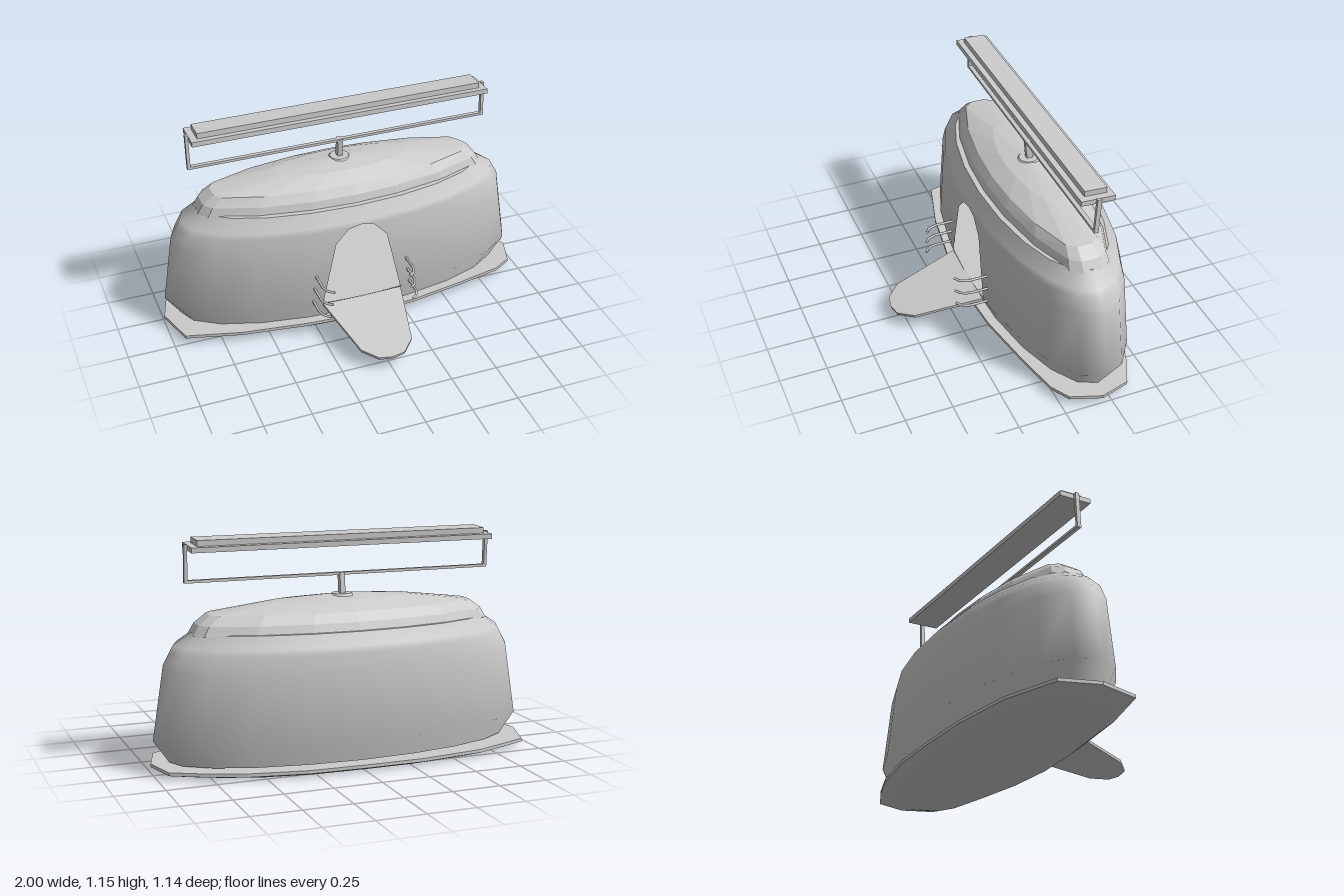
import * as THREE from 'three';

const V = (x, y, z) => new THREE.Vector3(x, y, z);

function material(options = {}) {
  return new THREE.MeshStandardMaterial({ color: 0xcccccc, ...options });
}

// Skin between stacked closed or open rings (equal point counts, bottom to top).
function loft(rings, closed = true) {
  const n = rings[0].length;
  const index = [];
  for (let i = 0; i < rings.length - 1; i++) {
    for (let j = 0; j < (closed ? n : n - 1); j++) {
      const k = (j + 1) % n;
      const a = i * n + j, b = i * n + k, c = a + n, d = b + n;
      index.push(a, b, d, a, d, c);
    }
  }
  const geometry = new THREE.BufferGeometry().setFromPoints(rings.flat());
  geometry.setIndex(index);
  geometry.computeVertexNormals();
  return geometry;
}

// Hull profile: height, half width, front z, back z.
const PROFILE = [
  [0.05, 0.91, 0.09, -0.52],
  [0.165, 0.99, 0.137, -0.57],
  [0.54, 0.93, 0.123, -0.548],
  [0.63, 0.88, 0.117, -0.535],
  [0.69, 0.79, 0.06, -0.48],
];
const SIDES = 20;

function section(y) {
  let i = 0;
  while (i < PROFILE.length - 2 && y > PROFILE[i + 1][0]) i++;
  const [p, q] = [PROFILE[i], PROFILE[i + 1]];
  const f = THREE.MathUtils.clamp((y - p[0]) / (q[0] - p[0]), 0, 1);
  const [rx, front, back] = [1, 2, 3].map((k) => p[k] + (q[k] - p[k]) * f);
  return { rx, rz: (front - back) / 2, cz: (front + back) / 2 };
}

// Angles around the hull, starting and ending at the edges of the doorway.
function angles(y, doorHalf) {
  const start = Math.asin(doorHalf / section(y).rx);
  return Array.from({ length: SIDES + 1 }, (_, j) =>
    j === 0 ? start : j === SIDES ? 2 * Math.PI - start : (j * 2 * Math.PI) / SIDES);
}

function hullRing(y, doorHalf = 0) {
  const { rx, rz, cz } = section(y);
  return angles(y, doorHalf).map((t) => V(rx * Math.sin(t), y, cz + rz * Math.cos(t)));
}

function hullGeometry() {
  // Height and half width of the doorway at that height.
  const levels = [[0.05, 0], [0.165, 0], [0.165, 0.22], [0.52, 0.14], [0.54, 0.122],
    [0.595, 0.07], [0.61, 0], [0.63, 0], [0.69, 0]];
  const geometry = loft(levels.map(([y, w]) => hullRing(y, w)), false);
  // Smooth normals that ignore the cut of the doorway.
  const normals = levels.flatMap(([y, w]) => {
    const s = section(y), lo = section(y - 0.03), hi = section(y + 0.03);
    const slope = (key) => (hi[key] - lo[key]) / 0.06;
    return angles(y, w).flatMap((t) => {
      const sn = Math.sin(t), cs = Math.cos(t);
      const ny = -(slope('rx') / s.rx) * sn * sn - (slope('rz') * cs * cs + slope('cz') * cs) / s.rz;
      return V(sn / s.rx, ny, cs / s.rz).normalize().toArray();
    });
  });
  geometry.setAttribute('normal', new THREE.Float32BufferAttribute(normals, 3));
  return geometry;
}

function disc(y) {
  const ring = hullRing(y);
  return loft([ring, ring.map(() => V(0, y, section(y).cz))]);
}

// Faceted roof with blunt ends.
function domeGeometry() {
  const quarter = [[0, 1], [0.3, 0.95], [0.65, 0.76], [0.95, 0.42], [1, 0.2]];
  const right = [...quarter, ...quarter.slice(1).reverse().map(([x, z]) => [x, -z])];
  const outline = [...right, [0, -1], ...right.slice(1).reverse().map(([x, z]) => [-x, z])];
  const levels = [[0.68, 0.79, 0.035, -0.465], [0.73, 0.76, 0.02, -0.445],
    [0.775, 0.7, -0.01, -0.405], [0.82, 0.36, -0.09, -0.32], [0.842, 0, -0.2, -0.2]];
  return loft(levels.map(([y, rx, f, b]) =>
    outline.map(([x, z]) => V(x * rx, y, (f + b) / 2 + (z * (f - b)) / 2))));
}

// Tilted base plate, bevelled underneath and wider at one end.
function plateGeometry() {
  const outline = [[0, 0.15], [0.3, 0.13], [0.6, 0.075], [0.85, 0.02], [0.95, -0.04], [1, -0.2],
    [0.95, -0.36], [0.8, -0.43], [0.6, -0.5], [0.3, -0.55], [0, -0.56], [-0.3, -0.56],
    [-0.65, -0.52], [-0.94, -0.42], [-1, -0.22], [-0.94, 0], [-0.65, 0.08], [-0.3, 0.13]];
  const ring = (scale, y, tilt) => outline.map(([x, z]) => {
    const zz = -0.21 + (z + 0.21) * scale;
    return V(x * scale, y + tilt * (zz + 0.21), zz);
  });
  return loft([ring(0, 0.003, 0.008), ring(0.88, 0.003, 0.008), ring(1, 0.03, 0.035),
    ring(1, 0.047, 0.035), ring(0, 0.047, 0.035)]);
}

export function createModel() {
  const model = new THREE.Group();
  const add = (name, geometry, options, parent = model) => {
    const mesh = new THREE.Mesh(geometry, material(options));
    mesh.name = name;
    parent.add(mesh);
    return mesh;
  };
  const box = (name, size, position, parent) => {
    const mesh = add(name, new THREE.BoxGeometry(...size), {}, parent);
    mesh.position.set(...position);
    return mesh;
  };

  // Hull with its doorway and interior
  add('hull', hullGeometry(), { side: THREE.DoubleSide });
  add('hullTop', disc(0.69), { side: THREE.DoubleSide, flatShading: true });
  add('floor', disc(0.16), { side: THREE.DoubleSide, flatShading: true });
  box('bench', [0.28, 0.17, 0.2], [-0.46, 0.245, -0.23]);
  add('roof', domeGeometry(), { flatShading: true });
  add('basePlate', plateGeometry(), { flatShading: true });

  // Lowered door used as a ramp
  const door = new THREE.Shape([[-0.22, 0], [0.22, 0], [0.14, 0.36], [0.07, 0.435], [0, 0.448],
    [-0.07, 0.435], [-0.14, 0.36]].map(([x, y]) => new THREE.Vector2(x, y)));
  const ramp = add('ramp', new THREE.ExtrudeGeometry(door, { depth: 0.015, bevelEnabled: false }));
  ramp.rotation.x = Math.PI / 2 + 0.19;
  ramp.position.set(0, 0.165, 0.13);

  // Three bent pegs on each side of the doorway
  for (const side of [-1, 1]) {
    for (let i = 0; i < 3; i++) {
      const y = 0.19 + i * 0.075, out = 0.272 - i * 0.01;
      const path = new THREE.CurvePath();
      const points = [V(side * out, y, 0.1), V(side * out, y, 0.22),
        V(side * (out - 0.015), y, 0.26), V(side * (out - 0.045), y, 0.282)];
      for (let k = 0; k < 3; k++) path.add(new THREE.LineCurve3(points[k], points[k + 1]));
      add('peg', new THREE.TubeGeometry(path, 12, 0.007, 6, false), { side: THREE.DoubleSide });
    }
  }

  // Mast, frame and overhead panel
  const foot = add('mastFoot', new THREE.CylinderGeometry(0.05, 0.06, 0.012, 16));
  foot.position.set(0, 0.836, -0.215);
  const post = box('mastPost', [0.026, 0.115, 0.034], [0, 0.888, -0.214]);
  post.rotation.x = 0.1;
  box('lowerBar', [1.63, 0.014, 0.022], [0, 0.939, -0.206]);
  for (const side of [-1, 1]) {
    const upright = box('upright', [0.016, 0.19, 0.022], [side * 0.808, 1.028, -0.21]);
    upright.rotation.x = -0.05;
  }
  const panel = new THREE.Group();
  panel.name = 'overheadPanel';
  panel.position.set(0, 1.106, -0.215);
  panel.rotation.x = -0.05;
  model.add(panel);
  box('panelBase', [1.6, 0.026, 0.176], [0, 0, 0], panel);
  box('panelTop', [1.53, 0.03, 0.115], [0, 0.027, 0], panel);
  return model;
}
